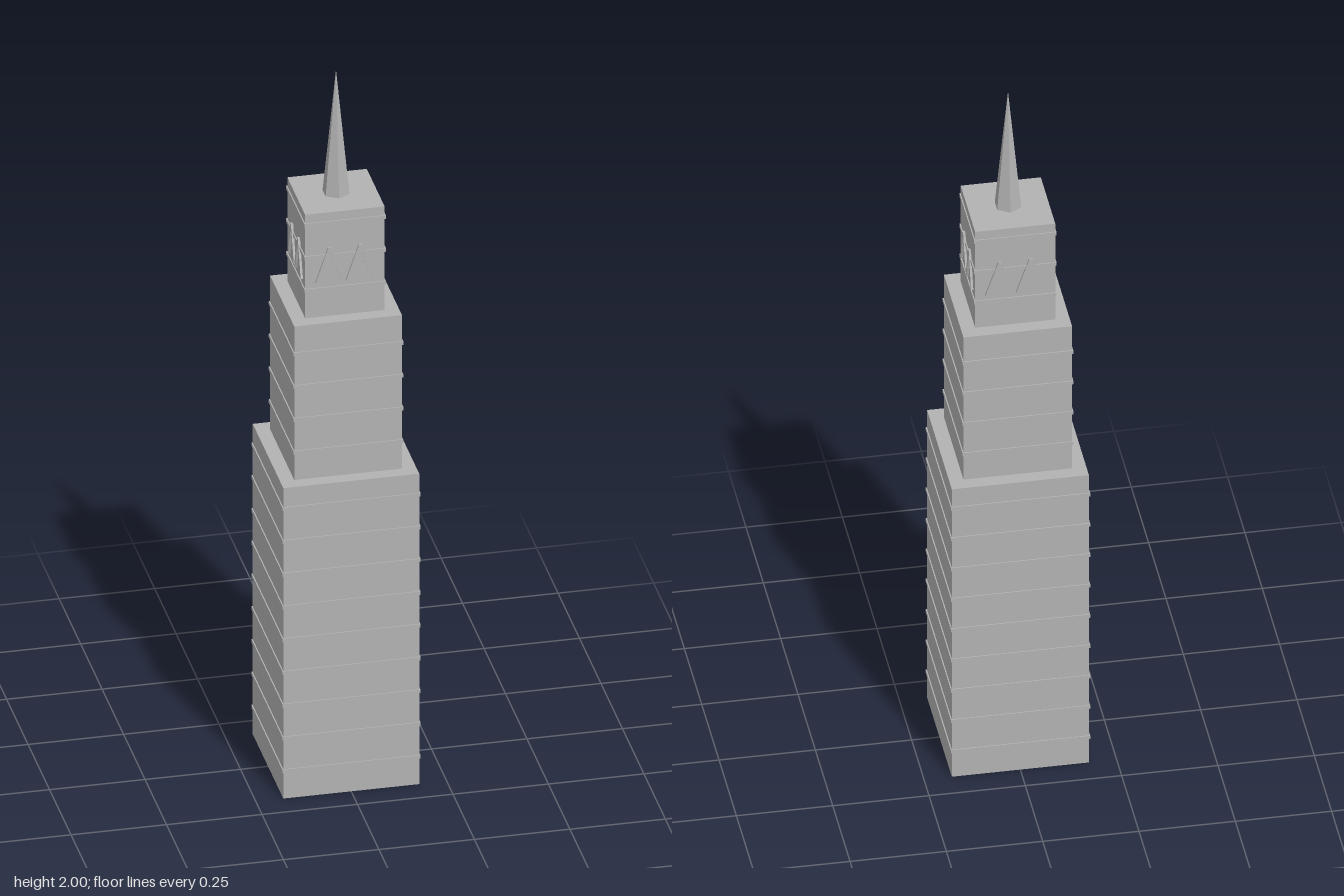
import * as THREE from 'three';

export function createModel() {
  const model = new THREE.Group();
  model.name = 'skyscraper';
  const stone = new THREE.MeshStandardMaterial({ color: 0xb2b2b2, flatShading: true });
  stone.name = 'grey stone';

  function add(parent, geometry, name, x, y, z) {
    const mesh = new THREE.Mesh(geometry, stone);
    mesh.name = name;
    mesh.position.set(x, y, z);
    parent.add(mesh);
    return mesh;
  }

  // Stepped tiers, each ringed by thin floor ledges
  const tiers = [
    { name: 'lowerTier', half: 0.178, bottom: 0, top: 0.9, ledges: 9 },
    { name: 'middleTier', half: 0.141, bottom: 0.9, top: 1.345, ledges: 4 },
    { name: 'upperTier', half: 0.104, bottom: 1.345, top: 1.645, ledges: 3 },
  ];
  for (const { name, half, bottom, top, ledges } of tiers) {
    const height = top - bottom;
    add(model, new THREE.BoxGeometry(half * 2, height, half * 2), name, 0, bottom + height / 2, 0);
    const width = (half + 0.003) * 2;
    for (let i = 0; i < ledges; i++) {
      add(model, new THREE.BoxGeometry(width, 0.01, width), name + 'Ledge', 0, bottom + 0.08 + i * 0.095, 0);
    }
  }

  // Two chevrons of slanted bars on every face of the upper tier
  const rise = 0.1, run = 0.034;
  const bar = new THREE.BoxGeometry(0.009, Math.hypot(rise, run), 0.012);
  for (let face = 0; face < 4; face++) {
    const group = new THREE.Group();
    group.name = 'chevronFace';
    group.rotation.y = face * Math.PI / 2;
    for (const centre of [-0.04, 0.04]) {
      for (const side of [-1, 1]) {
        const mesh = add(group, bar, 'chevronBar', centre + side * run / 2, 1.494, 0.104);
        mesh.rotation.z = side * Math.atan2(run, rise);
      }
    }
    model.add(group);
  }

  // Six-sided spire
  add(model, new THREE.ConeGeometry(0.036, 0.355, 6), 'spire', 0, 1.8225, 0);

  return model;
}
